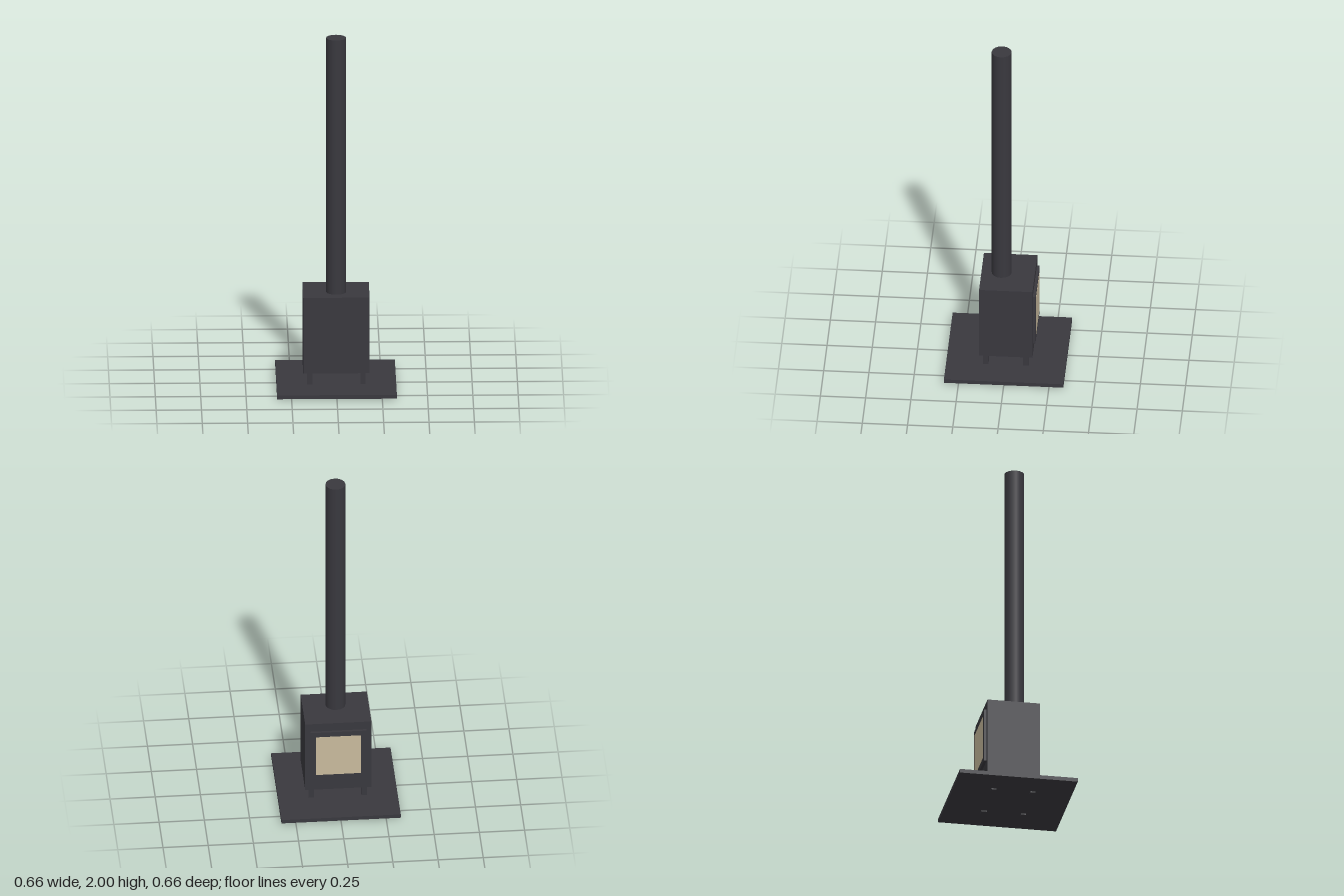
import * as THREE from 'three';

export function createModel() {
  const stove = new THREE.Group();
  stove.name = 'woodStove';

  const iron = new THREE.MeshStandardMaterial({ color: 0x39383e });
  iron.name = 'dark iron';
  const pane = new THREE.MeshStandardMaterial({ color: 0xc8ba9d });
  pane.name = 'warm glass';

  const add = (name, geometry, material, x, y, z) => {
    const mesh = new THREE.Mesh(geometry, material);
    mesh.name = name;
    mesh.position.set(x, y, z);
    stove.add(mesh);
    return mesh;
  };
  const box = (name, material, w, h, d, x, y, z) =>
    add(name, new THREE.BoxGeometry(w, h, d), material, x, y, z);

  // Hearth plate
  box('hearthPlate', iron, 0.66, 0.022, 0.66, 0, 0.018, 0);

  // Legs, reaching just through the plate
  for (const x of [-0.147, 0.147]) {
    for (const z of [-0.109, 0.111]) box('leg', iron, 0.029, 0.1, 0.029, x, 0.05, z);
  }

  // Firebox
  box('firebox', iron, 0.366, 0.436, 0.295, 0, 0.316, -0.001);

  // Door and its window on the -z side
  box('door', iron, 0.31, 0.309, 0.016, 0, 0.33, -0.155);
  box('doorWindow', pane, 0.25, 0.25, 0.004, 0, 0.33, -0.162);

  // Flue pipe
  const flueBottom = 0.53;
  const flueHeight = 2 - flueBottom;
  add('fluePipe', new THREE.CylinderGeometry(0.055, 0.055, flueHeight, 16), iron,
    0, flueBottom + flueHeight / 2, 0.035);

  return stove;
}
